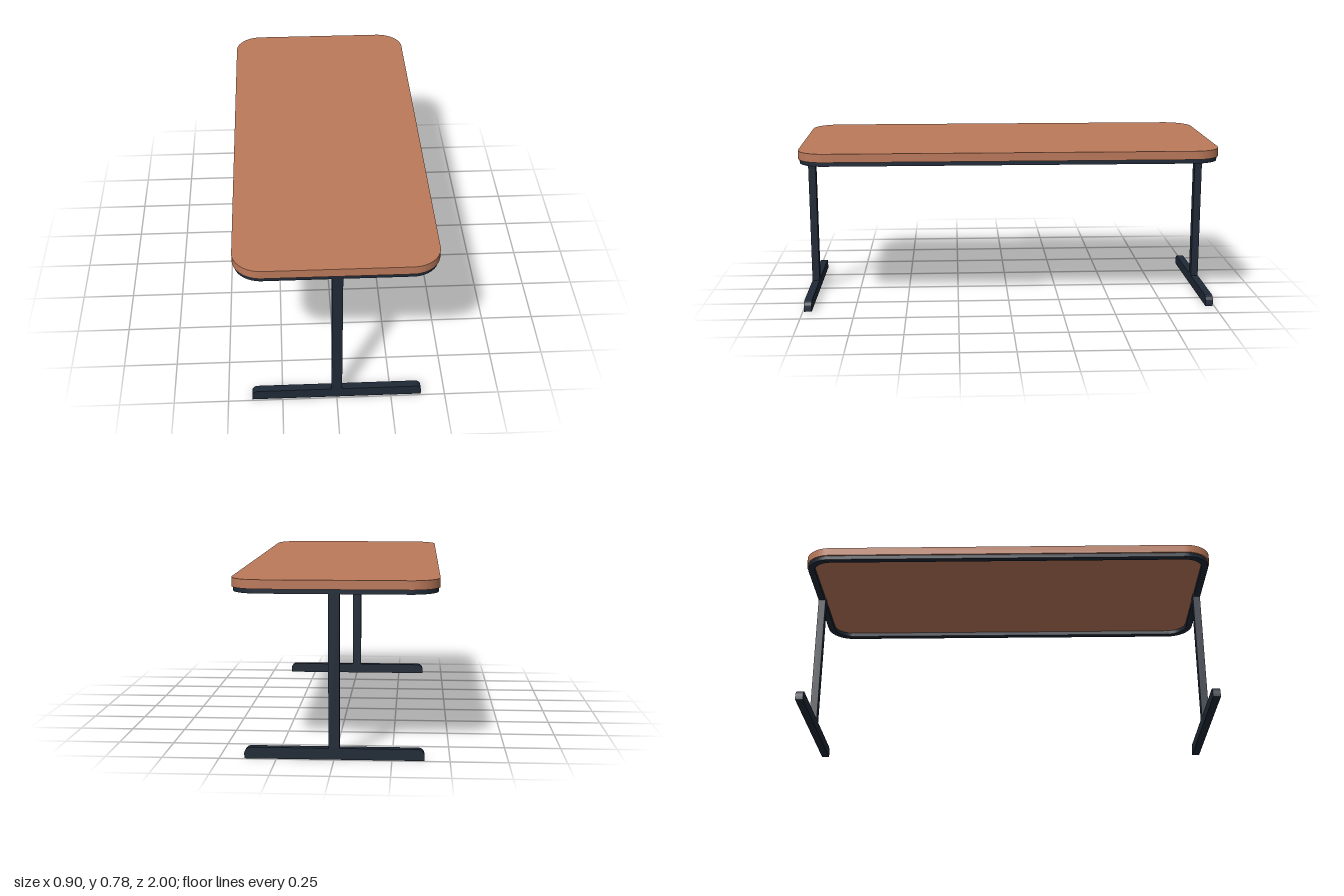
import * as THREE from 'three';
import { toCreasedNormals } from 'three/addons/utils/BufferGeometryUtils.js';

const wood = new THREE.MeshStandardMaterial({ color: 0xbc7a5b });
const metal = new THREE.MeshStandardMaterial({ color: 0x1f2937 });

// Rectangle outline centred on the origin with rounded corners
function roundedRect(path, hw, hh, r) {
  path.moveTo(hw, -hh + r);
  path.lineTo(hw, hh - r);
  path.absarc(hw - r, hh - r, r, 0, Math.PI / 2);
  path.lineTo(-hw + r, hh);
  path.absarc(-hw + r, hh - r, r, Math.PI / 2, Math.PI);
  path.lineTo(-hw, -hh + r);
  path.absarc(-hw + r, -hh + r, r, Math.PI, Math.PI * 1.5);
  path.lineTo(hw - r, -hh);
  path.absarc(hw - r, -hh + r, r, Math.PI * 1.5, Math.PI * 2);
  return path;
}

function extrude(shape, depth) {
  const geo = new THREE.ExtrudeGeometry(shape, { depth, bevelEnabled: false, curveSegments: 12 });
  return toCreasedNormals(geo, 0.6);
}

function addMesh(parent, name, geo, material, x, y, z) {
  const mesh = new THREE.Mesh(geo, material);
  mesh.name = name;
  mesh.position.set(x, y, z);
  parent.add(mesh);
  return mesh;
}

export function createModel() {
  const table = new THREE.Group();
  table.name = 'table';

  // Tabletop slab
  const topShape = roundedRect(new THREE.Shape(), 0.452, 1, 0.13);
  const top = extrude(topShape, 0.04).rotateX(-Math.PI / 2);
  addMesh(table, 'tabletop', top, wood, 0, 0.74, 0);

  // Open frame under the rim of the tabletop
  const rim = roundedRect(new THREE.Shape(), 0.445, 0.993, 0.123);
  rim.holes.push(roundedRect(new THREE.Path(), 0.413, 0.961, 0.091));
  addMesh(table, 'underFrame', extrude(rim, 0.02).rotateX(-Math.PI / 2), metal, 0, 0.72, 0);

  // Foot bar profile: flat below, rounded upper ends
  const hw = 0.39, h = 0.05, r = 0.028, depth = 0.036;
  const footShape = new THREE.Shape();
  footShape.moveTo(-hw, 0);
  footShape.lineTo(hw, 0);
  footShape.lineTo(hw, h - r);
  footShape.absarc(hw - r, h - r, r, 0, Math.PI / 2);
  footShape.lineTo(-hw + r, h);
  footShape.absarc(-hw + r, h - r, r, Math.PI / 2, Math.PI);
  const footGeo = extrude(footShape, depth).translate(0, 0, -depth / 2);
  const postGeo = new THREE.BoxGeometry(0.048, 0.685, depth);

  // T-shaped leg at each end
  for (const [name, side] of [['frontLeg', 1], ['backLeg', -1]]) {
    const leg = new THREE.Group();
    leg.name = name;
    leg.position.z = side * 0.975;
    addMesh(leg, name + 'Post', postGeo, metal, 0, 0.3925, 0);
    addMesh(leg, name + 'Foot', footGeo, metal, 0, 0, 0);
    table.add(leg);
  }
  return table;
}
